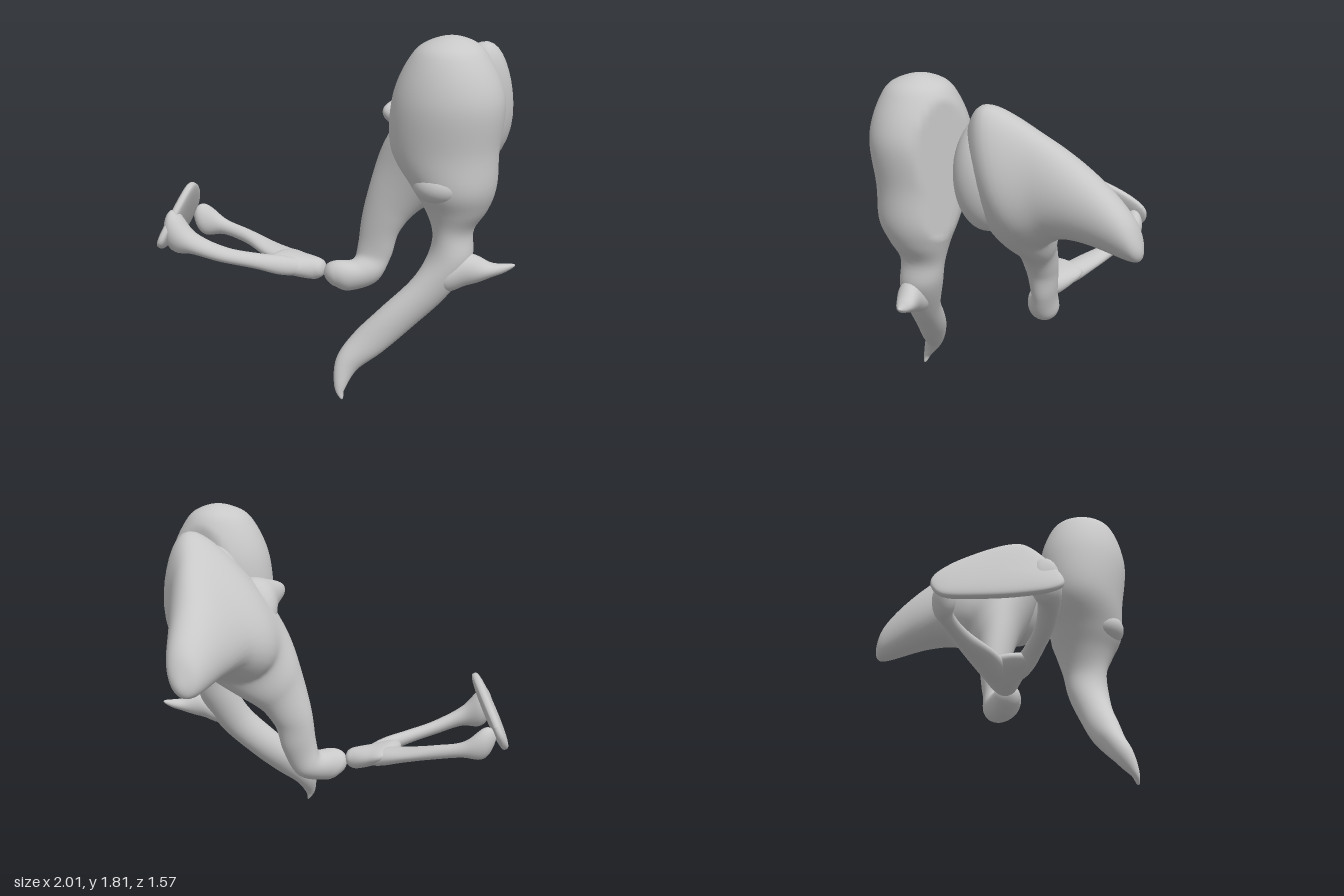
import * as THREE from 'three';

const V = (a) => new THREE.Vector3(...a);
// Sizes are blended by their squares, so a section of zero size gives a rounded tip.
const square = (v) => v.clone().multiplyScalar(v.length());
const unsquare = (v) => v.divideScalar(Math.sqrt(v.length()) || 1);
const spline = (pts, closed = false) => new THREE.CatmullRomCurve3(pts, closed, 'catmullrom', 0.5);

// Smooth loft through elliptical sections:
// [one edge, opposite edge, half width vector, optional narrowing towards the opposite edge]
function loft(sections, rule, rings = 72, sides = 36) {
  const mid = spline(sections.map(([p, q]) => V(p).add(V(q)).multiplyScalar(0.5)));
  const half = spline(sections.map(([p, q]) => square(V(q).sub(V(p)).multiplyScalar(0.5))));
  const wide = spline(sections.map((s) => square(V(s[2]))));
  const egg = spline(sections.map((s) => V([s[3] || 0, 0, 0])));
  const frames = [];
  let turn = 0;
  for (let i = 0; i <= rings; i++) {
    const t = (1 - Math.cos((Math.PI * i) / rings)) / 2;
    const f = { c: mid.getPoint(t), d: unsquare(half.getPoint(t)), w: unsquare(wide.getPoint(t)), e: egg.getPoint(t).x };
    turn += f.d.clone().cross(f.w).dot(mid.getTangent(t));
    frames.push(f);
  }
  const sign = turn < 0 ? -1 : 1;
  const pos = [], index = [];
  frames.forEach(({ c, d, w, e }, i) => {
    for (let j = 0; j < sides; j++) {
      const a = (j / sides) * Math.PI * 2;
      const v = c.clone().addScaledVector(d, Math.cos(a));
      v.addScaledVector(w, sign * Math.sin(a) * (1 - e * Math.cos(a)));
      if (rule) rule(v);
      pos.push(v.x, v.y, v.z);
      if (i === rings) continue;
      const k = (j + 1) % sides, r = i * sides, n = r + sides;
      index.push(r + j, r + k, n + j, r + k, n + k, n + j);
    }
  });
  const g = new THREE.BufferGeometry();
  g.setAttribute('position', new THREE.Float32BufferAttribute(pos, 3));
  g.setIndex(index);
  g.computeVertexNormals();
  return g;
}

// Upright sections for parts running along x: [x, y, z, half height, half depth]
const strut = (rows) => loft(rows.map(([x, y, z, h, w]) => [[x, y - h, z], [x, y + h, z], [0, 0, w]]), null, 48, 24);

// Rounded plate with a freely curved outline in x and y, thin along z
function plate(outline, thickness) {
  const rim = spline(outline.map(([u, v]) => V([u, v, 0])), true);
  const g = new THREE.SphereGeometry(1, 64, 24).rotateX(Math.PI / 2);
  const p = g.attributes.position;
  for (let i = 0; i < p.count; i++) {
    const x = p.getX(i), y = p.getY(i), z = p.getZ(i);
    const turn = (Math.atan2(y, x) / (2 * Math.PI) + 1) % 1;
    const v = rim.getPoint(turn).multiplyScalar(Math.hypot(x, y));
    p.setXYZ(i, v.x, v.y, Math.sign(z) * thickness * Math.abs(z) ** 0.6);
  }
  g.computeVertexNormals();
  return g;
}

export function createModel() {
  const model = new THREE.Group();
  const bone = new THREE.MeshStandardMaterial({ color: 0xc8c8c8 });
  bone.name = 'bone grey';

  const group = (name) => {
    const g = new THREE.Group();
    g.name = name;
    model.add(g);
    return g;
  };
  const add = (parent, name, geometry) => {
    const m = new THREE.Mesh(geometry, bone);
    m.name = name;
    parent.add(m);
    return m;
  };
  const blob = (parent, name, at, radii) =>
    add(parent, name, new THREE.SphereGeometry(1, 36, 24).scale(...radii)).position.set(...at);

  // Hammer bone: head, neck and curved handle, with a flattened back
  const hammer = group('hammerBone');
  add(hammer, 'hammerHeadAndHandle', loft([
    [[0.68, 1.81, 0.40], [0.68, 1.81, 0.40], [0, 0, 0]],
    [[0.49, 1.72, 0.41], [0.86, 1.72, 0.41], [0, 0, 0.18]],
    [[0.39, 1.50, 0.41], [0.95, 1.50, 0.41], [0, 0, 0.245]],
    [[0.38, 1.25, 0.41], [0.925, 1.25, 0.41], [0, 0, 0.225]],
    [[0.49, 1.07, 0.41], [0.915, 1.07, 0.41], [0, 0, 0.205]],
    [[0.56, 0.95, 0.40], [0.87, 0.95, 0.40], [0, 0, 0.16]],
    [[0.60, 0.84, 0.40], [0.80, 0.84, 0.40], [0, 0, 0.125]],
    [[0.585, 0.72, 0.42], [0.80, 0.69, 0.42], [0, 0, 0.115]],
    [[0.52, 0.58, 0.48], [0.70, 0.52, 0.48], [0, 0.03, 0.09]],
    [[0.38, 0.43, 0.56], [0.54, 0.35, 0.56], [0, 0.03, 0.08]],
    [[0.27, 0.31, 0.63], [0.42, 0.23, 0.63], [0, 0.02, 0.065]],
    [[0.205, 0.19, 0.70], [0.31, 0.14, 0.70], [0, 0.02, 0.05]],
    [[0.215, 0.07, 0.755], [0.27, 0.05, 0.755], [0, 0, 0.027]],
    [[0.26, 0, 0.77], [0.26, 0, 0.77], [0, 0, 0]],
  ], (v) => { if (v.y > 1) v.z = Math.max(v.z, 0.16 + 0.25 * (v.x - 0.45)); }, 110));
  add(hammer, 'hammerSideSpur', strut([
    [0.62, 0.60, 0.46, 0, 0],
    [0.70, 0.61, 0.45, 0.075, 0.085],
    [0.79, 0.65, 0.42, 0.08, 0.075],
    [0.88, 0.645, 0.38, 0.042, 0.055],
    [0.95, 0.655, 0.345, 0.024, 0.033],
    [1.00, 0.67, 0.32, 0, 0],
  ]));
  blob(hammer, 'hammerNeckBump', [0.68, 1.09, 0.52], [0.14, 0.09, 0.115]);

  // Anvil bone: short rear horn, ridged body, then the long limb bending into its foot
  const anvil = group('anvilBone');
  add(anvil, 'anvilBodyAndLimb', loft([
    [[0.50, 1.05, -0.79], [0.50, 1.05, -0.79], [0, 0, 0]],
    [[0.47, 0.985, -0.72], [0.52, 1.24, -0.71], [0.095, 0, 0]],
    [[0.45, 1.02, -0.50], [0.55, 1.43, -0.50], [0.155, 0, 0], 0.15],
    [[0.42, 1.02, -0.32], [0.63, 1.59, -0.27], [0.20, -0.02, 0], 0.3],
    [[0.40, 0.96, -0.21], [0.70, 1.71, 0.00], [0.265, -0.02, 0], 0.35],
    [[0.37, 0.91, -0.15], [0.52, 1.42, 0.19], [0.24, -0.05, 0], 0.2],
    [[0.23, 0.81, -0.09], [0.25, 1.00, 0.14], [0.13, -0.08, 0]],
    [[0.15, 0.68, -0.045], [0.15, 0.74, 0.12], [0.105, -0.03, 0]],
    [[0.12, 0.54, -0.02], [0.11, 0.57, 0.11], [0.09, -0.03, 0]],
    [[0.12, 0.385, 0.035], [0.03, 0.51, 0.12], [0.06, 0, 0.06]],
    [[0.00, 0.34, 0.13], [-0.04, 0.51, 0.17], [0.055, 0, 0.06]],
    [[-0.065, 0.365, 0.17], [-0.085, 0.495, 0.19], [0.04, 0, 0.05]],
    [[-0.11, 0.43, 0.20], [-0.11, 0.43, 0.20], [0, 0, 0]],
  ], null, 110));
  blob(anvil, 'anvilJointBody', [0.61, 1.34, 0.03], [0.205, 0.30, 0.168]);
  add(anvil, 'anvilJointSpur', loft([
    [[0.48, 1.26, -0.03], [0.48, 1.26, -0.03], [0, 0, 0]],
    [[0.39, 1.08, 0.05], [0.42, 1.45, 0.05], [0.15, 0, 0.06]],
    [[0.33, 1.24, 0.17], [0.33, 1.44, 0.17], [0.075, 0, 0.035]],
    [[0.27, 1.37, 0.28], [0.27, 1.37, 0.28], [0, 0, 0]],
  ], null, 40, 24));

  // Stirrup bone: tilted footplate with four rounded corners
  const stirrup = group('stirrupBone');
  const footplate = add(stirrup, 'stirrupFootplate', plate([
    [0.32, -0.05], [0.24, 0.09], [0.14, 0.20], [0.06, 0.215], [-0.06, 0.17], [-0.21, 0.08],
    [-0.30, -0.01], [-0.31, -0.09], [-0.24, -0.16], [-0.05, -0.165], [0.12, -0.15], [0.27, -0.115],
  ], 0.036));
  const along = V([0.08, -0.01, 0.32]).normalize();
  const normal = along.clone().cross(V([0.085, 0.19, 0])).normalize();
  const up = normal.clone().cross(along);
  footplate.quaternion.setFromRotationMatrix(new THREE.Matrix4().makeBasis(along, up, normal));
  footplate.position.set(-0.88, 0.72, 0.37);

  // Two arms joining the footplate to the small head
  add(stirrup, 'stirrupFrontArm', strut([
    [-0.86, 0.71, 0.57, 0, 0],
    [-0.80, 0.695, 0.58, 0.11, 0.075],
    [-0.70, 0.64, 0.575, 0.06, 0.06],
    [-0.55, 0.575, 0.51, 0.04, 0.052],
    [-0.40, 0.53, 0.41, 0.04, 0.055],
    [-0.28, 0.49, 0.31, 0.05, 0.06],
    [-0.17, 0.46, 0.21, 0, 0],
  ]));
  add(stirrup, 'stirrupBackArm', strut([
    [-0.95, 0.65, 0.12, 0, 0],
    [-0.89, 0.62, 0.105, 0.085, 0.06],
    [-0.79, 0.585, 0.08, 0.045, 0.04],
    [-0.62, 0.55, 0.10, 0.038, 0.045],
    [-0.45, 0.51, 0.15, 0.04, 0.075],
    [-0.30, 0.48, 0.18, 0.05, 0.075],
    [-0.17, 0.46, 0.19, 0, 0],
  ]));
  add(stirrup, 'stirrupHead', strut([
    [-0.395, 0.51, 0.29, 0, 0],
    [-0.34, 0.50, 0.255, 0.045, 0.155],
    [-0.25, 0.475, 0.215, 0.058, 0.11],
    [-0.17, 0.46, 0.195, 0.06, 0.07],
    [-0.13, 0.46, 0.19, 0.045, 0.05],
    [-0.11, 0.46, 0.19, 0, 0],
  ]));

  return model;
}
